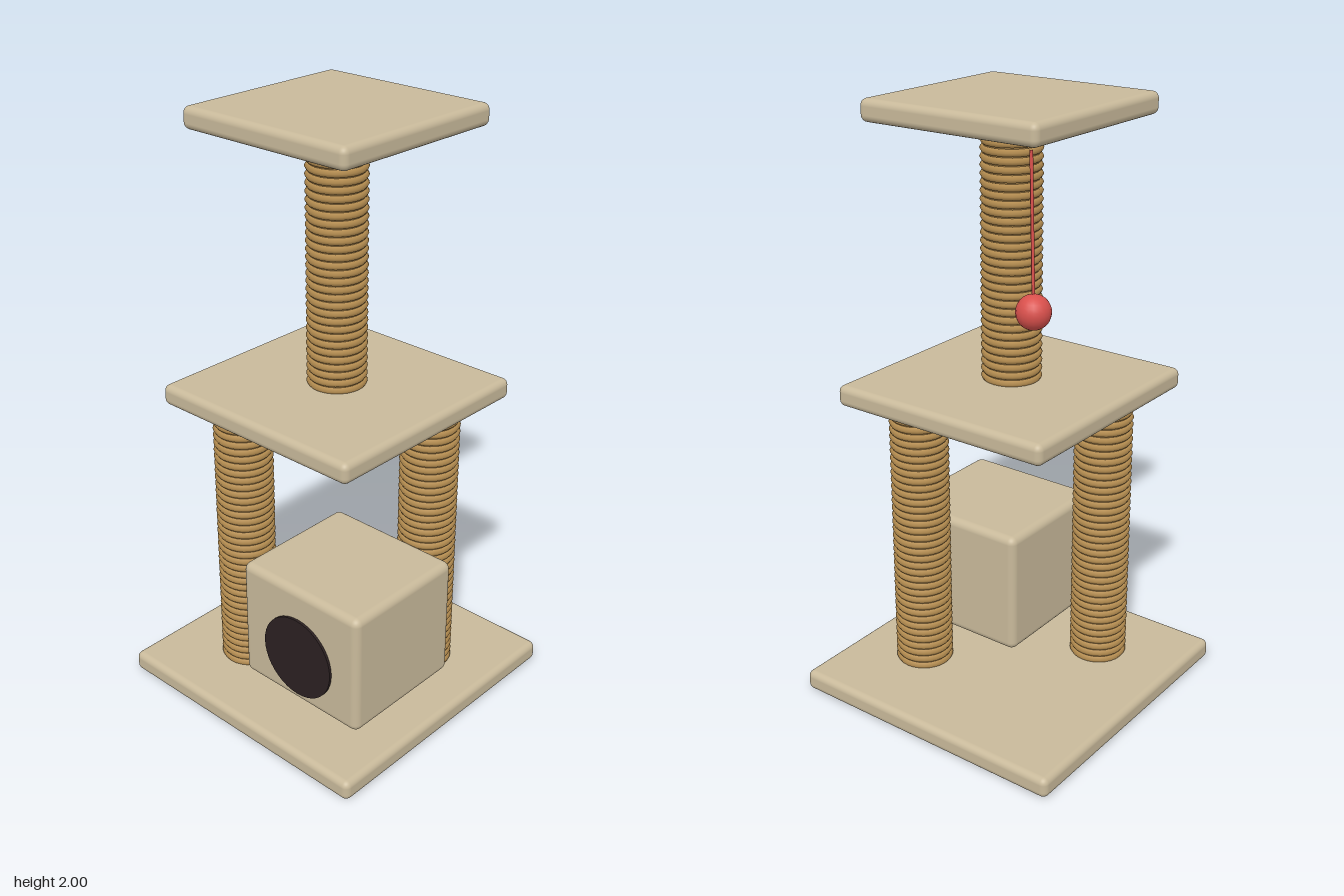
import * as THREE from 'three';
import { RoundedBoxGeometry } from 'three/addons/geometries/RoundedBoxGeometry.js';
import { mergeGeometries } from 'three/addons/utils/BufferGeometryUtils.js';

function material(name, color) {
  const m = new THREE.MeshStandardMaterial({ color });
  m.name = name;
  return m;
}

export function createModel() {
  const model = new THREE.Group();
  model.name = 'catTree';

  const plush = material('beige plush', 0xc8b99a);
  const rope = material('sisal rope', 0xb58d50);
  const dark = material('dark opening', 0x2b2021);
  const red = material('red toy', 0xd9504c);

  function add(name, geometry, mat, x, y, z) {
    const mesh = new THREE.Mesh(geometry, mat);
    mesh.name = name;
    mesh.position.set(x, y, z);
    model.add(mesh);
    return mesh;
  }

  // Padded square boards, placed by their underside
  function board(name, size, bottom) {
    const h = 0.07;
    add(name, new RoundedBoxGeometry(size, h, size, 4, 0.022), plush, 0, bottom + h / 2, 0);
  }
  board('base', 1, 0);
  board('middlePlatform', 0.785, 1.04);
  board('topPlatform', 0.64, 1.93);

  // Posts: a core wound with stacked rope rings
  function post(name, x, z, bottom, top) {
    const height = top - bottom;
    const count = Math.round(height / 0.026);
    const pitch = height / count;
    const parts = [new THREE.CylinderGeometry(0.087, 0.087, height, 28).translate(0, height / 2, 0)];
    for (let i = 0; i < count; i++) {
      parts.push(new THREE.TorusGeometry(0.085, 0.0125, 6, 28)
        .rotateX(Math.PI / 2)
        .translate(0, (i + 0.5) * pitch, 0));
    }
    add(name, mergeGeometries(parts), rope, x, bottom, z);
  }
  post('frontLeftPost', -0.215, 0.215, 0.065, 1.045);
  post('backRightPost', 0.245, -0.175, 0.065, 1.045);
  post('upperPost', 0, 0, 1.105, 1.935);

  // Hideaway box with a round doorway
  add('house', new RoundedBoxGeometry(0.495, 0.425, 0.46, 4, 0.026), plush, 0.178, 0.3625, 0.145);
  add('doorway', new THREE.CylinderGeometry(0.143, 0.143, 0.009, 40).rotateX(Math.PI / 2),
    dark, 0.178, 0.327, 0.379);

  // Hanging ball on a slanted string
  const hook = new THREE.Vector3(-0.265, 1.915, -0.265);
  const ball = new THREE.Vector3(-0.305, 1.47, -0.305);
  add('toyString', new THREE.TubeGeometry(new THREE.LineCurve3(hook, ball), 1, 0.005, 6), red, 0, 0, 0);
  add('toyBall', new THREE.SphereGeometry(0.052, 20, 14), red, ball.x, ball.y, ball.z);

  return model;
}
